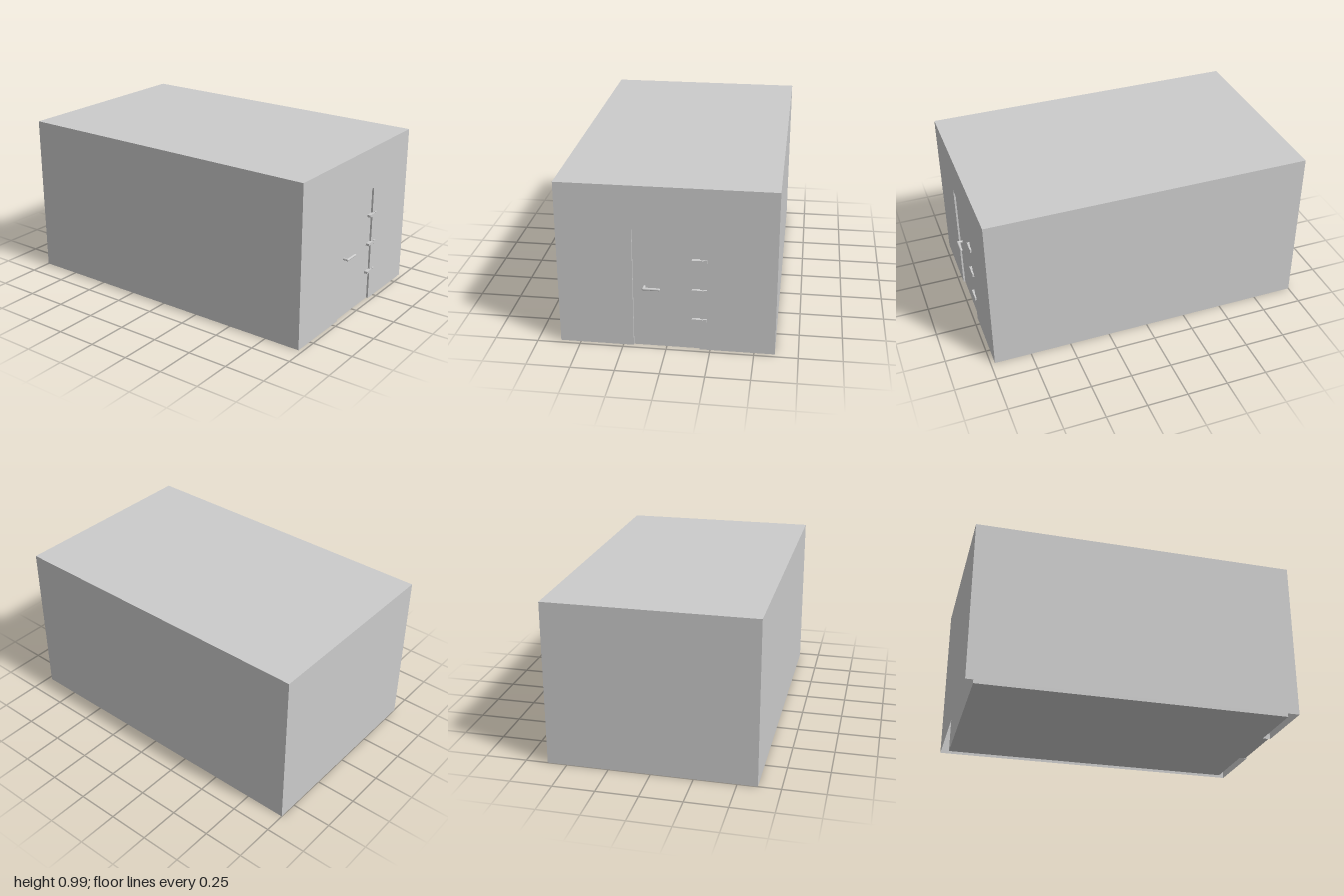
import * as THREE from 'three';

const W = 1.235, H = 0.99, FRONT = 0.975, BACK = -1;
const WALL = 0.05, DOOR_X = 0.19, DOOR_H = 0.73, RECESS = 0.011;

export function createModel() {
  const root = new THREE.Group();
  const mat = new THREE.MeshStandardMaterial({ color: 0xcccccc });
  const thin = new THREE.MeshStandardMaterial({ color: 0xcccccc, side: THREE.DoubleSide });

  const add = (name, geometry, x, y, z, material = mat) => {
    const mesh = new THREE.Mesh(geometry, material);
    mesh.name = name;
    mesh.position.set(x, y, z);
    root.add(mesh);
    return mesh;
  };

  // Outer shell, open at the bottom
  const depth = FRONT - BACK, midZ = (FRONT + BACK) / 2;
  add('roof', new THREE.PlaneGeometry(W, depth), 0, H, midZ, thin).rotation.x = -Math.PI / 2;
  add('backWall', new THREE.PlaneGeometry(W, H), 0, H / 2, BACK, thin).rotation.y = Math.PI;
  for (const [name, s] of [['leftWall', 1], ['rightWall', -1]]) {
    add(name, new THREE.PlaneGeometry(depth, H), s * W / 2, H / 2, midZ, thin).rotation.y = s * Math.PI / 2;
  }

  // Front wall with a doorway reaching the ground
  const front = new THREE.Shape([
    [-W / 2, 0], [-DOOR_X, 0], [-DOOR_X, DOOR_H], [DOOR_X, DOOR_H],
    [DOOR_X, 0], [W / 2, 0], [W / 2, H], [-W / 2, H],
  ].map(([x, y]) => new THREE.Vector2(x, y)));
  add('frontWall', new THREE.ShapeGeometry(front), 0, 0, FRONT, thin);

  // Doorway lining
  const jambZ = FRONT - WALL / 2;
  for (const s of [-1, 1]) {
    add('doorJamb', new THREE.PlaneGeometry(WALL, DOOR_H), s * DOOR_X, DOOR_H / 2, jambZ, thin).rotation.y = -s * Math.PI / 2;
  }
  add('doorLintel', new THREE.PlaneGeometry(2 * DOOR_X, WALL), 0, DOOR_H, jambZ, thin).rotation.x = Math.PI / 2;

  // Inner room, set in by the wall thickness
  add('innerRoom', new THREE.BoxGeometry(W - 2 * WALL, H - WALL, depth - 2 * WALL), 0, (H - WALL) / 2, midZ);

  // Slightly recessed door
  const doorFace = FRONT - RECESS, doorDepth = WALL - RECESS;
  add('door', new THREE.BoxGeometry(2 * DOOR_X - 0.002, DOOR_H - 0.001, doorDepth),
    0, DOOR_H / 2, doorFace - doorDepth / 2);

  // Strap hinges: narrow tapered strap and wider plate
  const hinge = new THREE.Shape([
    [0.145, -0.007], [0.19, -0.009], [0.21, -0.007], [0.21, -0.01], [0.23, -0.01],
    [0.23, 0.01], [0.21, 0.01], [0.21, 0.007], [0.19, 0.009], [0.145, 0.007],
  ].map(([x, y]) => new THREE.Vector2(x, y)));
  const hingeGeo = new THREE.ExtrudeGeometry(hinge, { depth: RECESS + 0.01, bevelEnabled: false });
  for (const y of [0.19, 0.375, 0.56]) add('hinge', hingeGeo, 0, y, doorFace);

  // Lever handle: stem and rounded bar
  const stem = new THREE.CylinderGeometry(0.008, 0.008, 0.03, 20);
  add('handleStem', stem, -0.125, 0.378, doorFace + 0.014).rotation.x = Math.PI / 2;
  const bar = new THREE.CapsuleGeometry(0.008, 0.087, 6, 20);
  add('handleBar', bar, -0.083, 0.378, 0.992).rotation.z = Math.PI / 2;

  return root;
}
